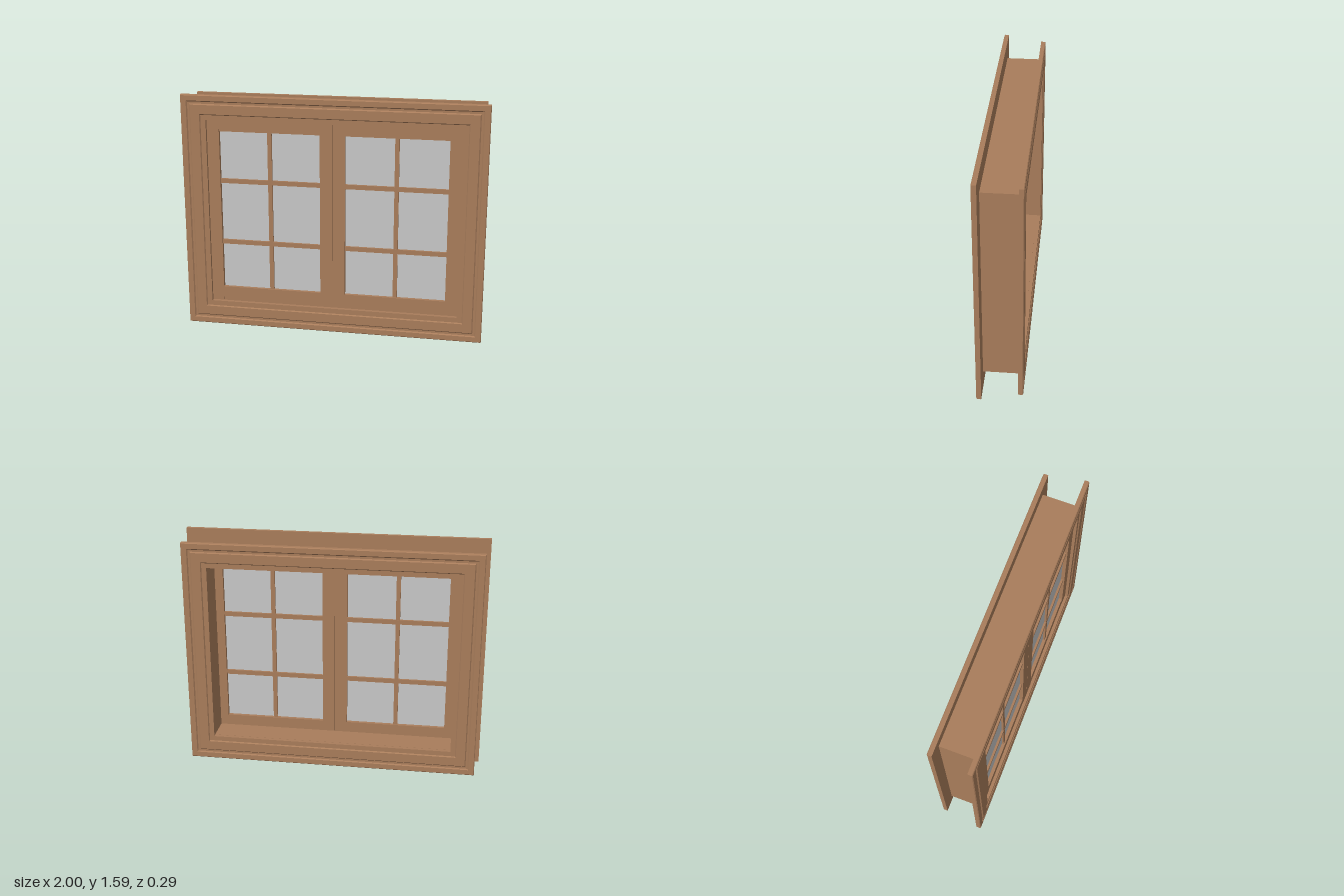
import * as THREE from 'three';

const wood = new THREE.MeshStandardMaterial({ color: 0xa97d5b });
wood.name = 'wood';
const glass = new THREE.MeshStandardMaterial({ color: 0xc8c8c8 });
glass.name = 'glass';

// Rectangular frame with mitred corners; the closed profile is [inset, z] pairs,
// running up the outer edge, inward over the front, then back.
function mitredFrame(name, halfW, y0, y1, profile) {
  const corner = (i, [d, z]) => [
    (i === 0 || i === 3 ? -1 : 1) * (halfW - d),
    i < 2 ? y0 + d : y1 - d,
    z,
  ];
  const pos = [];
  for (let i = 0; i < 4; i++) {
    const n = (i + 1) % 4;
    profile.forEach((p, j) => {
      const q = profile[(j + 1) % profile.length];
      const a = corner(i, p), b = corner(n, p), c = corner(n, q), d = corner(i, q);
      pos.push(...a, ...b, ...c, ...a, ...c, ...d);
    });
  }
  const geo = new THREE.BufferGeometry();
  geo.setAttribute('position', new THREE.Float32BufferAttribute(pos, 3));
  geo.computeVertexNormals();
  const mesh = new THREE.Mesh(geo, wood);
  mesh.name = name;
  return mesh;
}

// Box given by its bounds
function slab(name, x0, x1, y0, y1, z0, z1, material = wood) {
  const mesh = new THREE.Mesh(new THREE.BoxGeometry(x1 - x0, y1 - y0, z1 - z0), material);
  mesh.position.set((x0 + x1) / 2, (y0 + y1) / 2, (z0 + z1) / 2);
  mesh.name = name;
  return mesh;
}

// Moulded casing with a shallow groove and a stepped inner lip
const casing = (width) => [
  [0, 0.115], [0, 0.142], [0.005, 0.147], [0.038, 0.147], [0.045, 0.14], [0.058, 0.14],
  [0.065, 0.147], [0.125, 0.147], [0.131, 0.14], [width, 0.14], [width, 0.115],
];

// One casement: stiles, rails, glazing bars and glass
function makeSash(name, x0, x1) {
  const sash = new THREE.Group();
  sash.name = name;
  const yb = 0.168, yt = 1.427, gx0 = x0 + 0.082, gx1 = x1 - 0.082, gy0 = 0.265, gy1 = 1.35;
  const zb = 0.065, zf = 0.12;
  sash.add(
    slab('outerStile', x0, gx0, yb, yt, zb, zf),
    slab('innerStile', gx1, x1, yb, yt, zb, zf),
    slab('bottomRail', gx0, gx1, yb, gy0, zb, zf - 0.002),
    slab('topRail', gx0, gx1, gy1, yt, zb, zf - 0.002),
    slab('glassPane', gx0, gx1, gy0, gy1, 0.089, 0.095, glass),
  );
  const mid = (gx0 + gx1) / 2;
  sash.add(slab('verticalBar', mid - 0.014, mid + 0.014, gy0, gy1, 0.075, 0.109));
  for (const y of [0.588, 1.013]) {
    sash.add(slab('horizontalBar', gx0, gx1, y - 0.015, y + 0.015, 0.074, 0.11));
  }
  return sash;
}

export function createModel() {
  const model = new THREE.Group();
  model.name = 'window';

  // Casings on both faces
  model.add(mitredFrame('frontCasing', 1, 0, 1.59, casing(0.165)));
  const back = casing(0.163).map(([d, z]) => [d, -z]).reverse();
  model.add(mitredFrame('backCasing', 0.97, 0.03, 1.56, back));

  // Deep jamb with a rebate that holds the sashes
  model.add(mitredFrame('jamb', 0.878, 0.124, 1.467, [
    [0, -0.115], [0, 0.115], [0.043, 0.115], [0.043, 0.06], [0.07, 0.06], [0.07, -0.115],
  ]));

  // Pair of sashes meeting at the centre
  model.add(makeSash('rightSash', -0.836, -0.001), makeSash('leftSash', 0.001, 0.836));
  return model;
}
